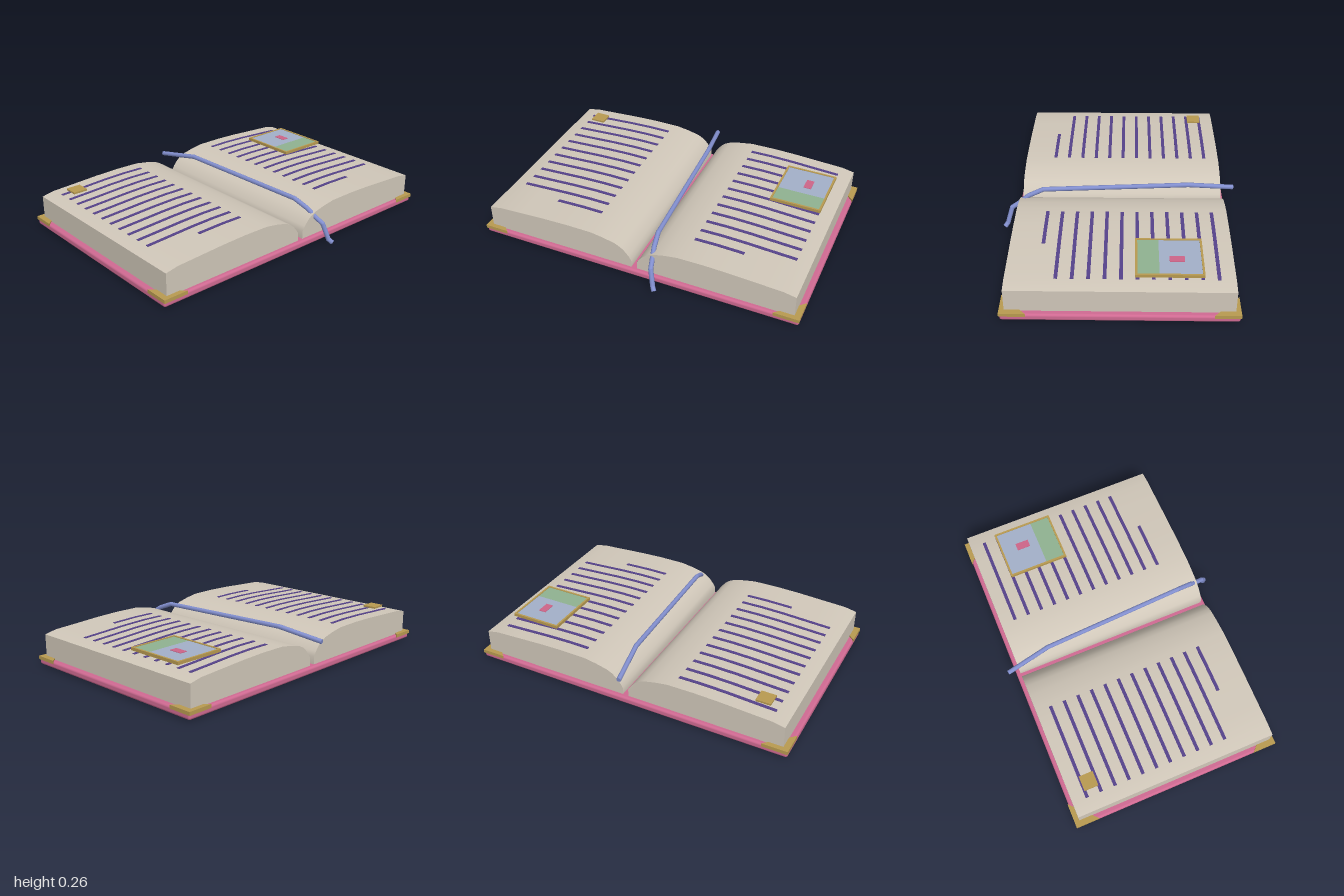
import * as THREE from 'three';
import { toCreasedNormals } from 'three/addons/utils/BufferGeometryUtils.js';
import { RoundedBoxGeometry } from 'three/addons/geometries/RoundedBoxGeometry.js';

const paint = (name, color) => Object.assign(new THREE.MeshStandardMaterial({ color }), { name });
const mats = {
  cover: paint('rose cover', 0xd06a92),
  paper: paint('parchment', 0xd0c7b9),
  ink: paint('violet ink', 0x55428a),
  gold: paint('brass', 0xb89a50),
  ribbon: paint('blue ribbon', 0x8390d0),
  sky: paint('picture sky', 0xa3afc8),
  grass: paint('picture grass', 0x8fb290),
  mark: paint('picture mark', 0xcc6488),
};

// Page surface: distance from the spine and height, gutter to outer edge
const PROFILE = [[0.018, 0.1], [0.035, 0.128], [0.06, 0.157], [0.085, 0.178], [0.12, 0.195], [0.19, 0.212], [0.27, 0.225],
  [0.43, 0.227], [0.58, 0.223], [0.75, 0.214], [0.89, 0.207], [0.965, 0.192]];

function heightAt(x) {
  const i = Math.max(1, PROFILE.findIndex((p) => p[0] >= x));
  const [x0, y0] = PROFILE[i - 1], [x1, y1] = PROFILE[i];
  return y0 + (y1 - y0) * (x - x0) / (x1 - x0);
}

function add(parent, name, geometry, material) {
  const mesh = new THREE.Mesh(geometry, material);
  mesh.name = name;
  parent.add(mesh);
  return mesh;
}

function box(parent, name, material, x0, x1, y0, y1, z0, z1) {
  const mesh = add(parent, name, new THREE.BoxGeometry(x1 - x0, y1 - y0, z1 - z0), material);
  mesh.position.set((x0 + x1) / 2, (y0 + y1) / 2, (z0 + z1) / 2);
  return mesh;
}

function extrude(points, depth) {
  const shape = new THREE.Shape(points.map(([x, y]) => new THREE.Vector2(x, y)));
  return new THREE.ExtrudeGeometry(shape, { depth, bevelEnabled: false });
}

// Thin line of writing that follows the page curve
function textLine(parent, side, from, to, z) {
  const xs = [from, ...PROFILE.map((p) => p[0]).filter((x) => x > from && x < to), to];
  const top = xs.map((x) => [side * x, heightAt(x) + 0.003]);
  const bottom = xs.map((x) => [side * x, heightAt(x) - 0.002]).reverse();
  add(parent, 'textLine', extrude([...top, ...bottom], 0.02), mats.ink).position.z = z - 0.01;
}

export function createModel() {
  const book = new THREE.Group();
  book.name = 'openBook';

  // Cover board with softened edges
  add(book, 'cover', new RoundedBoxGeometry(1.996, 0.042, 1.292, 2, 0.014), mats.cover).position.set(0, 0.032, -0.02);

  // Page blocks and writing
  for (const side of [-1, 1]) {
    const half = new THREE.Group();
    half.name = side < 0 ? 'rightPages' : 'leftPages';
    book.add(half);
    const outline = [[0.018, 0.05], ...PROFILE, [0.965, 0.05]].map(([x, y]) => [side * x, y]);
    add(half, 'pageBlock', toCreasedNormals(extrude(outline, 1.243), 0.6), mats.paper).position.z = -0.641;
    for (let i = 0; i < 12; i++) textLine(half, side, 0.3, i === 11 ? 0.6 : 0.882, -0.55 + i * 0.0876);
  }

  // Triangular corner guards
  for (const sx of [-1, 1]) {
    for (const [z, dz] of [[-0.67, 0.145], [0.63, -0.145]]) {
      const guard = extrude([[sx, z], [sx * 0.85, z], [sx, z + dz]], 0.021);
      guard.rotateX(Math.PI / 2);
      add(book, 'cornerGuard', guard, mats.gold).position.y = 0.061;
    }
  }

  // Framed picture
  const picture = new THREE.Group();
  picture.name = 'picture';
  book.add(picture);
  box(picture, 'backing', mats.gold, 0.575, 0.89, 0.229, 0.239, -0.472, -0.1);
  for (const [x0, x1, z0, z1] of [[0.575, 0.587, -0.472, -0.1], [0.878, 0.89, -0.472, -0.1],
    [0.587, 0.878, -0.472, -0.46], [0.587, 0.878, -0.112, -0.1]]) {
    box(picture, 'frameBar', mats.gold, x0, x1, 0.229, 0.247, z0, z1);
  }
  box(picture, 'sky', mats.sky, 0.587, 0.878, 0.238, 0.243, -0.46, -0.23);
  box(picture, 'grass', mats.grass, 0.587, 0.878, 0.238, 0.243, -0.23, -0.112);
  box(picture, 'mark', mats.mark, 0.73, 0.777, 0.242, 0.246, -0.37, -0.287);

  // Gilded initial
  box(book, 'initial', mats.gold, -0.846, -0.757, 0.23, 0.241, -0.552, -0.466);

  // Ribbon bookmark made of straight lengths with rounded joints
  const ribbon = new THREE.Group();
  ribbon.name = 'ribbon';
  book.add(ribbon);
  const path = [[0, 0.208, -0.708], [0.045, 0.252, -0.43], [0.09, 0.241, 0.46], [0.105, 0.205, 0.55],
    [0.12, 0.16, 0.61], [0.131, 0.134, 0.653], [0.155, 0.035, 0.683], [0.17, 0.016, 0.7]]
    .map((p) => new THREE.Vector3(...p));
  for (let i = 1; i < path.length; i++) {
    const dir = path[i].clone().sub(path[i - 1]);
    const length = add(ribbon, 'ribbonLength', new THREE.CylinderGeometry(0.0145, 0.0145, dir.length(), 8), mats.ribbon);
    length.position.copy(path[i]).add(path[i - 1]).multiplyScalar(0.5);
    length.quaternion.setFromUnitVectors(new THREE.Vector3(0, 1, 0), dir.normalize());
    if (i < path.length - 1) {
      add(ribbon, 'ribbonJoint', new THREE.SphereGeometry(0.0145, 8, 6), mats.ribbon).position.copy(path[i]);
    }
  }
  return book;
}
